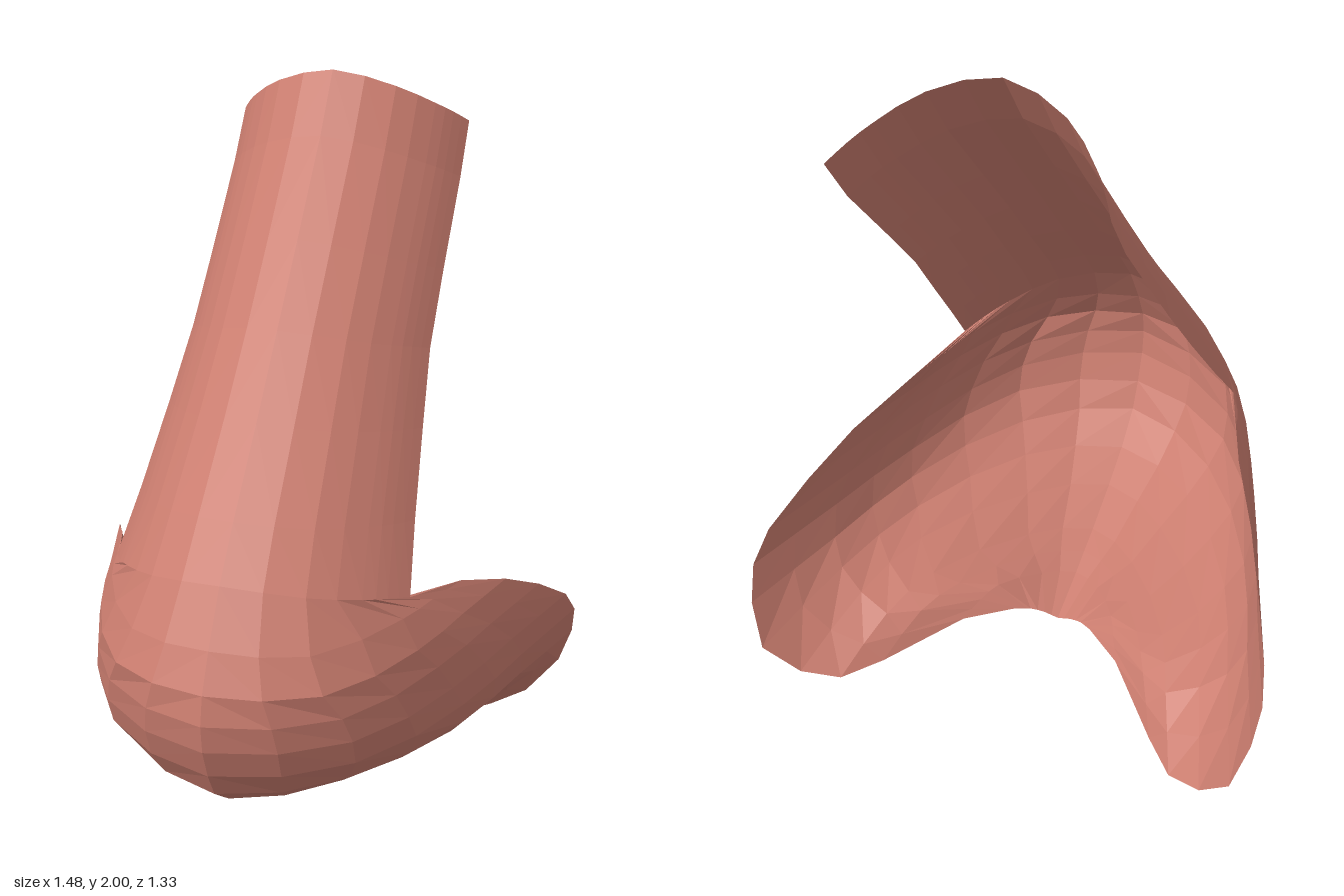
import * as THREE from 'three';

// Bridge rows: centre [y, z] and rim [x, y, z], from the top edge to the notch
const bridge = [
  [[2.0, -0.42], [0.335, 1.84, -0.65]],
  [[1.84, -0.31], [0.337, 1.7, -0.555]],
  [[1.6, -0.11], [0.34, 1.48, -0.37]],
  [[1.4, 0.06], [0.345, 1.3, -0.22]],
  [[1.2, 0.23], [0.365, 1.12, -0.08]],
  [[1.0, 0.41], [0.39, 0.92, 0.08]],
  [[0.87, 0.515], [0.415, 0.76, 0.21]],
];

// Tip and nostril rows: centre [y, z], cheek, side and rim points, nostril dent
const wing = [
  [[0.73, 0.60], [0.24, 0.715, 0.52], [0.41, 0.72, 0.26], [0.50, 0.715, -0.02], 0],
  [[0.63, 0.65], [0.28, 0.62, 0.54], [0.45, 0.63, 0.25], [0.59, 0.65, -0.2], 0],
  [[0.55, 0.665], [0.32, 0.54, 0.50], [0.49, 0.55, 0.18], [0.66, 0.57, -0.36], 0],
  [[0.47, 0.655], [0.34, 0.46, 0.47], [0.52, 0.46, 0.12], [0.72, 0.48, -0.5], 0],
  [[0.38, 0.62], [0.34, 0.38, 0.44], [0.54, 0.38, 0.06], [0.74, 0.40, -0.57], 0],
  [[0.30, 0.575], [0.31, 0.30, 0.39], [0.53, 0.30, 0.02], [0.73, 0.30, -0.62], 0],
  [[0.22, 0.47], [0.27, 0.235, 0.31], [0.49, 0.235, -0.03], [0.69, 0.17, -0.66], 0.03],
  [[0.16, 0.35], [0.22, 0.18, 0.20], [0.44, 0.20, -0.12], [0.60, 0.065, -0.62], 0.045],
  [[0.10, 0.20], [0.17, 0.125, 0.08], [0.36, 0.165, -0.21], [0.50, 0.025, -0.57], 0.045],
  [[0.075, 0.12], [0.13, 0.10, 0.03], [0.28, 0.14, -0.20], [0.41, 0.03, -0.47], 0.045],
  [[0.05, 0.05], [0.09, 0.07, -0.01], [0.18, 0.11, -0.14], [0.24, 0.07, -0.27], 0.01],
  [[0.005, -0.11], [0.04, 0.02, -0.115], [0.08, 0.035, -0.13], [0.12, 0.05, -0.16], 0],
];

// Smooth mirrored row through the centre and the points of one half
function makeRow(centre, half) {
  const right = half.map(([x, y, z]) => new THREE.Vector3(x, y, z));
  const left = right.map((p) => new THREE.Vector3(-p.x, p.y, p.z)).reverse();
  const middle = new THREE.Vector3(0, centre[0], centre[1]);
  return new THREE.CatmullRomCurve3([...left, middle, ...right]).getPoints(16);
}

// Arched row: each point is a share of the way out, down and back to the rim
function bridgeRow([c, r]) {
  const at = (out, down, back) => [
    r[0] * out, c[0] + (r[1] - c[0]) * down, c[1] + (r[2] - c[1]) * back,
  ];
  return makeRow(c, [at(0.5, 0.27, 0.2), at(0.78, 0.61, 0.55), at(0.9, 0.8, 0.77), r]);
}

function wingRow([c, a, b, r, dent]) {
  const d = [0, 1, 2].map((k) => (b[k] + r[k]) / 2);
  d[1] += dent;
  return makeRow(c, [a, b, d, r]);
}

// Open sheet joining neighbouring rows
function skin(rows) {
  const n = rows[0].length;
  const index = [];
  for (let j = 0; j < rows.length - 1; j++) {
    for (let i = 0; i < n - 1; i++) {
      const a = j * n + i, b = a + 1, c = a + n, d = c + 1;
      // Diagonals mirror about the centre line
      if (i < (n - 1) / 2) index.push(a, c, b, b, c, d);
      else index.push(a, c, d, a, d, b);
    }
  }
  const geometry = new THREE.BufferGeometry().setFromPoints(rows.flat());
  geometry.setIndex(index);
  const flat = geometry.toNonIndexed();
  flat.computeVertexNormals();
  return flat;
}

export function createModel() {
  const skinMaterial = new THREE.MeshStandardMaterial({
    name: 'skin', color: 0xcb7d6f, flatShading: true, side: THREE.DoubleSide,
  });
  const group = new THREE.Group();
  group.name = 'nose';
  const bridgeRows = bridge.map(bridgeRow);
  const wingRows = wing.map(wingRow);

  // Bridge from the brow down to the notch
  const bridgeMesh = new THREE.Mesh(skin(bridgeRows), skinMaterial);
  bridgeMesh.name = 'bridge';

  // Rounded tip with both nostril wings
  const tipMesh = new THREE.Mesh(skin([bridgeRows.at(-1), ...wingRows]), skinMaterial);
  tipMesh.name = 'tipAndNostrils';

  group.add(bridgeMesh, tipMesh);
  return group;
}
